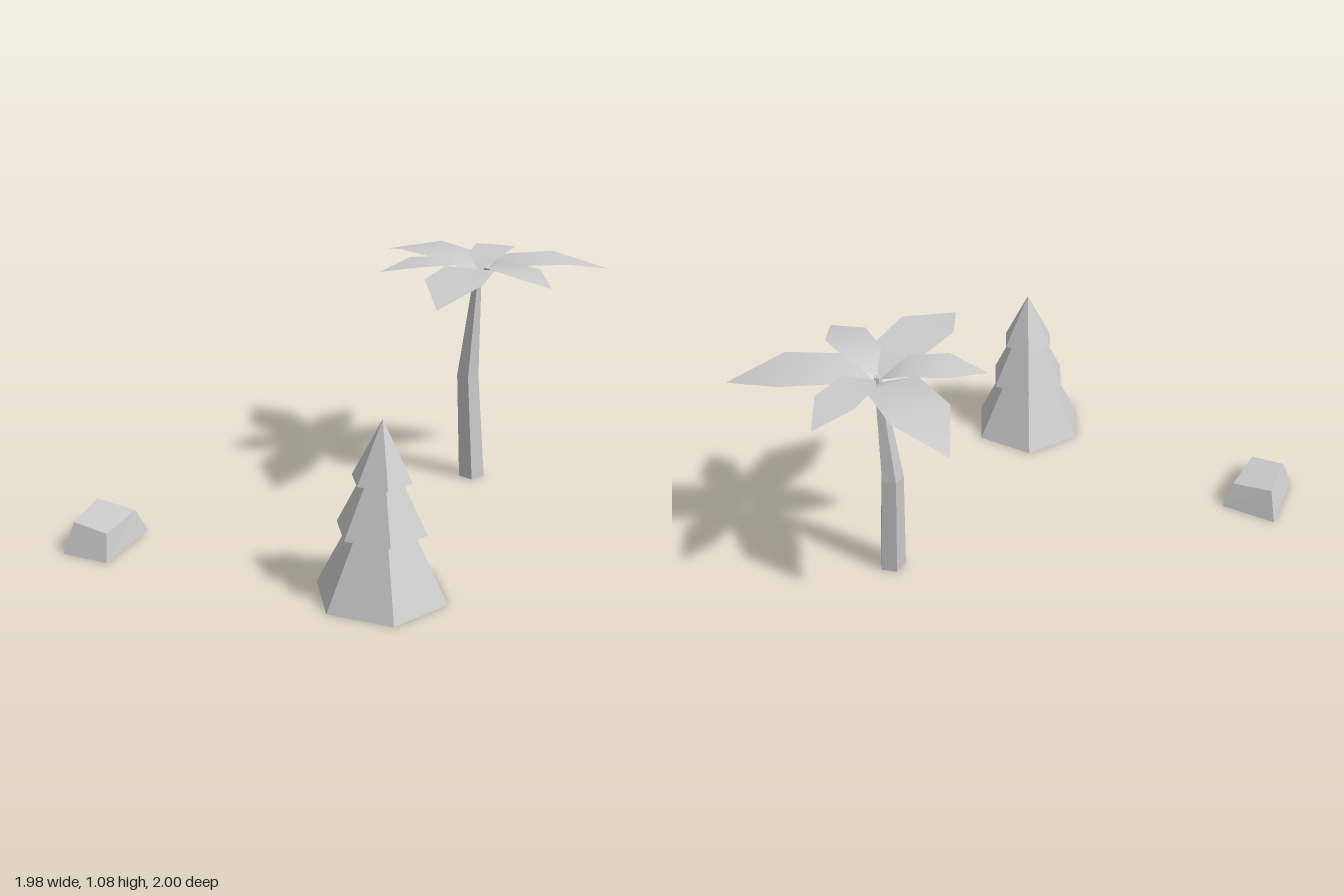
import * as THREE from 'three';

const flat = new THREE.MeshStandardMaterial({ color: 0xcccccc, flatShading: true });
const leafMat = new THREE.MeshStandardMaterial({ color: 0xcccccc, side: THREE.DoubleSide });

function addMesh(parent, name, geometry, material = flat) {
  const mesh = new THREE.Mesh(geometry, material);
  mesh.name = name;
  parent.add(mesh);
  return mesh;
}

// Three stacked six-sided cones, all with the same slope
function makePine() {
  const pine = new THREE.Group();
  pine.name = 'pineTree';
  const tiers = [[0, 0.29, 0.283, 0.138], [0.29, 0.505, 0.193, 0.086], [0.505, 0.757, 0.128, 0]];
  tiers.forEach(([y0, y1, r0, r1], i) => {
    const tier = new THREE.CylinderGeometry(r1, r0, y1 - y0, 6, 1, false, Math.PI / 2);
    addMesh(pine, `pineTier${i + 1}`, tier).position.y = (y0 + y1) / 2;
  });
  pine.position.set(0.433, 0, 0.755);
  return pine;
}

// Flat pointed leaf along +z: point, two width stations, tip
function leafGeometry({ mid, shoulder, length, midHalf, half, baseY, topY, tipY }) {
  const g = new THREE.BufferGeometry();
  g.setAttribute('position', new THREE.Float32BufferAttribute([
    0, baseY, 0.01,
    -midHalf, topY, mid, midHalf, topY, mid,
    -half, topY, shoulder, half, topY, shoulder,
    0, tipY, length,
  ], 3));
  g.setIndex([0, 1, 2, 1, 3, 4, 1, 4, 2, 3, 5, 4]);
  g.computeVertexNormals();
  return g;
}

function makePalm() {
  const palm = new THREE.Group();
  palm.name = 'palmTree';

  // Five-sided trunk, tapering and bowed at mid height
  const height = 1.03;
  const trunk = new THREE.CylinderGeometry(1, 1, height, 5, 2, false, Math.PI / 2);
  trunk.translate(0, height / 2, 0);
  const radii = [0.063, 0.053, 0.017];
  const bow = [0, -0.034, 0];
  const p = trunk.attributes.position;
  for (let i = 0; i < p.count; i++) {
    const row = Math.round((p.getY(i) / height) * 2);
    p.setX(i, p.getX(i) * radii[row] + bow[row]);
    p.setZ(i, p.getZ(i) * radii[row]);
  }
  addMesh(palm, 'palmTrunk', trunk);

  // Large and small leaves alternate around the crown
  const large = leafGeometry({ mid: 0.14, shoulder: 0.395, length: 0.63, midHalf: 0.116, half: 0.133, baseY: 1.005, topY: 1.073, tipY: 1.01 });
  const small = leafGeometry({ mid: 0.125, shoulder: 0.30, length: 0.463, midHalf: 0.083, half: 0.096, baseY: 1.015, topY: 1.08, tipY: 1.04 });
  for (let i = 0; i < 6; i++) {
    addMesh(palm, `palmLeaf${i + 1}`, i % 2 ? small : large, leafMat).rotation.y = (i * Math.PI) / 3;
  }
  palm.position.set(0.438, 0, -0.535);
  return palm;
}

// Box with its corners pulled into an uneven boulder
function makeRock() {
  const corners = {
    '-1,-1,-1': [-1.0, 0, 0.585], '1,-1,-1': [-0.733, 0, 0.585],
    '1,-1,1': [-0.742, 0, 0.93], '-1,-1,1': [-0.96, 0, 0.92],
    '-1,1,-1': [-0.954, 0.14, 0.632], '1,1,-1': [-0.763, 0.115, 0.632],
    '1,1,1': [-0.763, 0.112, 0.882], '-1,1,1': [-0.928, 0.134, 0.87],
  };
  const g = new THREE.BoxGeometry(2, 2, 2);
  const p = g.attributes.position;
  for (let i = 0; i < p.count; i++) {
    p.setXYZ(i, ...corners[[p.getX(i), p.getY(i), p.getZ(i)].join(',')]);
  }
  g.computeVertexNormals();
  return g;
}

export function createModel() {
  const model = new THREE.Group();
  model.name = 'treesAndRock';
  model.add(makePine(), makePalm());
  addMesh(model, 'rock', makeRock());
  return model;
}
